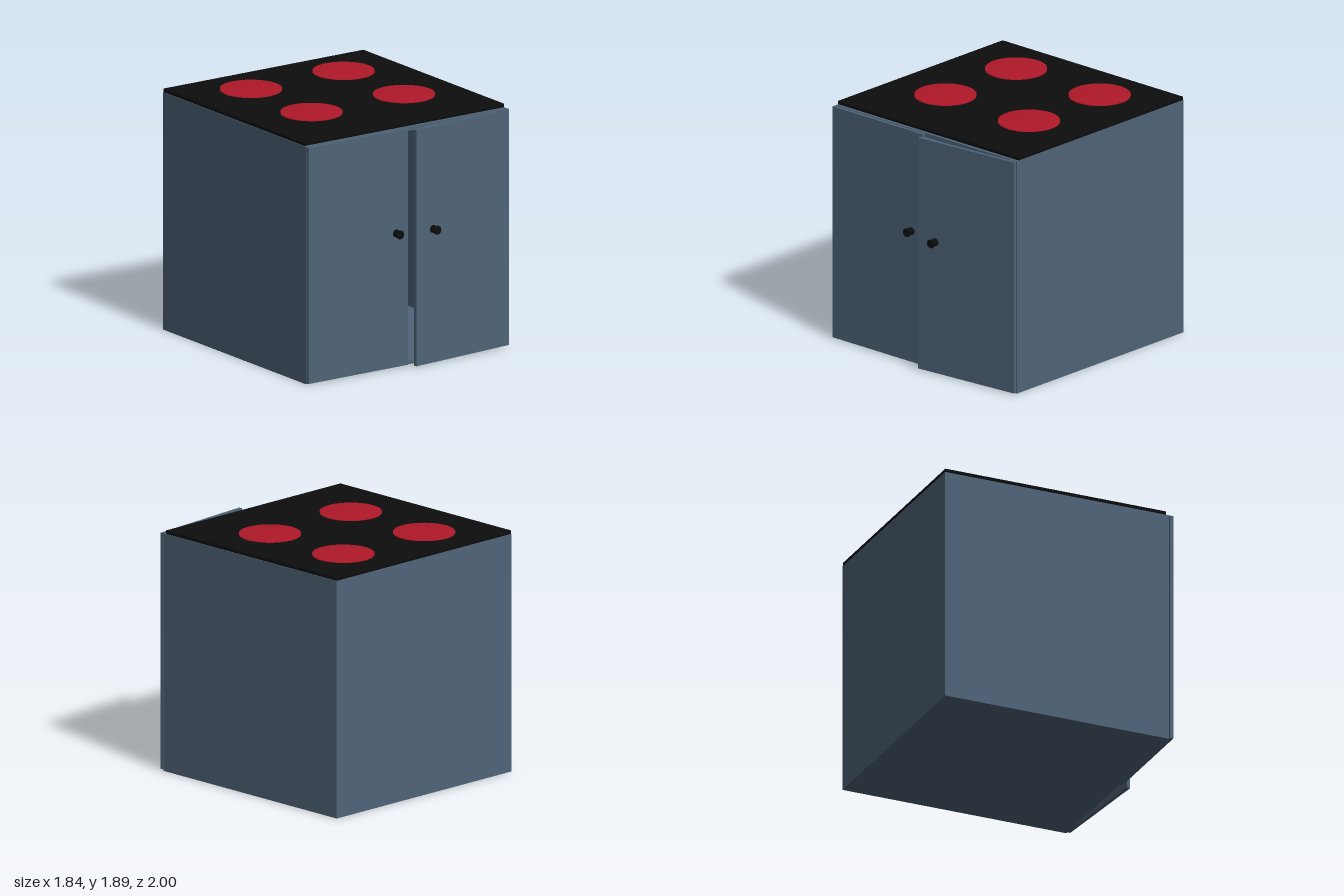
import * as THREE from 'three';
import { RoundedBoxGeometry } from 'three/addons/geometries/RoundedBoxGeometry.js';

const blue = new THREE.MeshStandardMaterial({ color: 0x4f6478 });
const black = new THREE.MeshStandardMaterial({ color: 0x0d0d0d });
const red = new THREE.MeshStandardMaterial({ color: 0xb01828 });

function add(parent, name, geometry, material, x, y, z) {
  const mesh = new THREE.Mesh(geometry, material);
  mesh.name = name;
  mesh.position.set(x, y, z);
  parent.add(mesh);
  return mesh;
}

const lathe = (points, segments) =>
  new THREE.LatheGeometry(points.map(([r, y]) => new THREE.Vector2(r, y)), segments);

export function createModel() {
  const model = new THREE.Group();
  model.name = 'stove';

  // Hollow cabinet, open at the front behind the doors
  const W = 1.84, H = 1.845, D = 1.84, T = 0.03, zMid = -0.08;
  const cabinet = new THREE.Group();
  cabinet.name = 'cabinet';
  model.add(cabinet);
  for (const s of [-1, 1]) {
    add(cabinet, s > 0 ? 'leftWall' : 'rightWall',
      new THREE.BoxGeometry(T, H, D), blue, s * (W - T) / 2, H / 2, zMid);
    add(cabinet, s > 0 ? 'ceiling' : 'floor',
      new THREE.BoxGeometry(W - 2 * T, T, D), blue, 0, s > 0 ? H - T / 2 : T / 2, zMid);
  }
  add(cabinet, 'backWall', new THREE.BoxGeometry(W - 2 * T, H - 2 * T, T), blue, 0, H / 2, -1 + T / 2);

  // Cooktop slab, set slightly back from the cabinet front
  add(model, 'cooktop', new RoundedBoxGeometry(W, 0.03, 1.82, 2, 0.008), black, 0, 1.86, -0.09);

  // Four burners with softly shaded rims
  const burner = lathe([[0.233, -0.008], [0.233, 0.013], [0, 0.013]], 48);
  for (const x of [-0.405, 0.445])
    for (const z of [-0.59, 0.19]) add(model, 'burner', burner, red, x, 1.874, z);

  // Doors hang from their hinges; the left one stands ajar
  const knob = lathe([[0, 0], [0.03, 0], [0.03, 0.008], [0.015, 0.03],
    [0.034, 0.046], [0.034, 0.056], [0.028, 0.061], [0, 0.061]], 20);
  knob.rotateX(Math.PI / 2);
  const doors = [
    { name: 'rightDoor', side: -1, width: 0.913, z: 0.864, angle: 0, knobAt: 0.803 },
    { name: 'leftDoor', side: 1, width: 0.908, z: 0.860, angle: 0.085, knobAt: 0.745 },
  ];
  for (const d of doors) {
    const door = new THREE.Group();
    door.name = d.name;
    door.position.set(d.side * 0.92, 0, d.z);
    door.rotation.y = d.angle;
    add(door, 'doorPanel', new THREE.BoxGeometry(d.width, 1.835, 0.028), blue,
      -d.side * d.width / 2, 0.9275, 0);
    add(door, 'doorKnob', knob, black, -d.side * d.knobAt, 1.05, 0.014);
    model.add(door);
  }
  return model;
}
